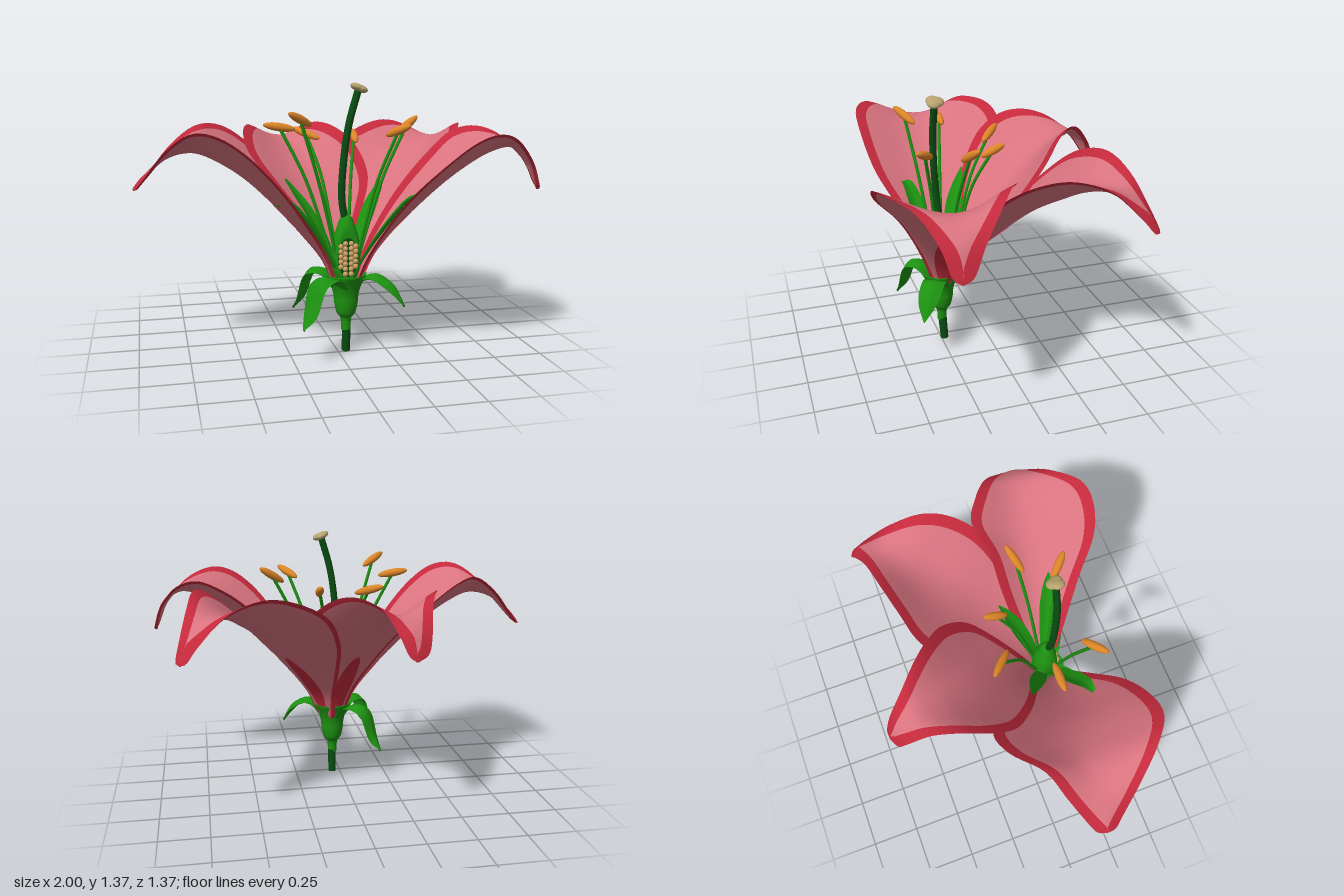
import * as THREE from 'three';

const mat = (name, color, side = THREE.FrontSide) => {
  const m = new THREE.MeshStandardMaterial({ color, side });
  m.name = name;
  return m;
};
const V = (x, y, z) => new THREE.Vector3(x, y, z);
const CX = 0.04, CZ = 0.24; // axis of the flower

// Curved blade surface: rows are [radius, height, edgeLift, halfWidth, otherHalfWidth]
function bladeSurface(rows, angle) {
  const curve = f => new THREE.CatmullRomCurve3(rows.map(f), false, 'catmullrom');
  const spine = curve(p => V(p[0], p[1], p[2]));
  const halves = curve(p => V(p[3], p[4] ?? p[3], 0));
  const a = angle * Math.PI / 180, dx = Math.cos(a), dz = Math.sin(a);
  const width = (t, s) => {
    const h = halves.getPoint(t);
    return Math.max(0.003, s > 0 ? h.y : h.x);
  };
  const raw = (t, s) => {
    const p = spine.getPoint(t), w = width(t, s) * s;
    const lift = p.z * (1.6 * s ** 2 - 0.6 * s ** 4);
    return V(CX + dx * p.x - dz * w, p.y + lift, CZ + dz * p.x + dx * w);
  };
  const at = (t, s, off = 0) => {
    const p = raw(t, s);
    if (!off) return p;
    const e = 0.004, t0 = Math.max(0, t - e), t1 = Math.min(1, t + e);
    const T = raw(t1, s).sub(raw(t0, s)), S = raw(t, s + 0.02).sub(raw(t, s - 0.02));
    return p.addScaledVector(S.cross(T).normalize(), off);
  };
  return { at, width };
}

function buildGeometry(pos, idx) {
  const g = new THREE.BufferGeometry();
  g.setAttribute('position', new THREE.Float32BufferAttribute(pos, 3));
  g.setIndex(idx);
  g.computeVertexNormals();
  return g;
}

// Two-skinned blade; columns follow the border line so its colour edge is smooth
function bladeGeometry(surf, thick, borderTop = 0, borderBottom = 0, rows = 48, cols = 20) {
  const pos = [], face = [], rim = [], B = 2;
  [borderTop, borderBottom].forEach((border, skin) => {
    const first = pos.length / 3;
    for (let i = 0; i <= rows; i++) {
      const t = i / rows;
      const inner = side => Math.max(0.01, 1 - (border || 0.01) / surf.width(t, side));
      for (let j = 0; j <= cols; j++) {
        let s;
        if (j < B) s = -1 + (1 - inner(-1)) * j / B;
        else if (j > cols - B) s = 1 - (1 - inner(1)) * (cols - j) / B;
        else {
          const k = 2 * (j - B) / (cols - 2 * B) - 1;
          s = inner(k) * k;
        }
        pos.push(...surf.at(t, s, skin ? -thick * (1 - s ** 8) : 0).toArray());
      }
    }
    for (let i = 0; i < rows; i++) for (let j = 0; j < cols; j++) {
      const a = first + i * (cols + 1) + j, b = a + cols + 1, c = a + 1, d = b + 1;
      const list = border && (j < B || j >= cols - B) ? rim : face;
      if (skin) list.push(a, b, c, b, d, c);
      else list.push(a, c, b, b, c, d);
    }
  });
  const g = buildGeometry(pos, [...face, ...rim]);
  g.addGroup(0, face.length, 0);
  g.addGroup(face.length, rim.length, 1);
  return g;
}

// Thin oval patch lying on the outer skin
function patchGeometry(surf, t0, t1, half, off) {
  const pos = [], idx = [], n = 24, m = 6;
  for (let i = 0; i <= n; i++) for (let j = 0; j <= m; j++) {
    const t = t0 + (t1 - t0) * i / n, k = 2 * j / m - 1;
    const s = half * Math.sqrt(Math.sin(Math.PI * i / n) + 1e-6) * k / surf.width(t, k);
    pos.push(...surf.at(t, s, off).toArray());
    if (i < n && j < m) {
      const a = i * (m + 1) + j, b = a + m + 1;
      idx.push(a, b, a + 1, b, b + 1, a + 1);
    }
  }
  return buildGeometry(pos, idx);
}

export function createModel() {
  const root = new THREE.Group();
  root.name = 'flower';
  const D = THREE.DoubleSide;
  const pink = mat('petal pink', 0xd8737f, D), red = mat('petal border red', 0xc42a3c, D);
  const green = mat('leaf green', 0x1d9211, D), dark = mat('dark green', 0x084c12);
  const orange = mat('anther orange', 0xdc8528), tan = mat('stigma tan', 0xb8a36e);
  const seed = mat('ovule tan', 0xcf9f62);
  const add = (name, geo, material, parent = root) => {
    const mesh = new THREE.Mesh(geo, material);
    mesh.name = name;
    parent.add(mesh);
    return mesh;
  };
  const tube = (pts, r, n = 30, sides = 10) =>
    new THREE.TubeGeometry(new THREE.CatmullRomCurve3(pts), n, r, sides);

  // Petals: shared stations and cupping, own heights and outline on each side
  const radii = [0.04, 0.1, 0.2, 0.31, 0.45, 0.58, 0.7, 0.82, 0.92, 0.965, 0.978];
  const lifts = [0.02, 0.04, 0.08, 0.12, 0.14, 0.14, 0.1, 0.03, -0.02, -0.02, 0];
  [
    { name: 'rightPetal', angle: 186, length: 1.066,
      y: [0.33, 0.49, 0.63, 0.76, 0.905, 1.0, 1.05, 1.025, 0.94, 0.885, 0.865],
      a: [0.055, 0.11, 0.2, 0.3, 0.355, 0.365, 0.295, 0.19, 0.09, 0.045, 0.004],
      b: [0.055, 0.11, 0.2, 0.31, 0.415, 0.375, 0.24, 0.165, 0.09, 0.05, 0.004] },
    { name: 'backPetal', angle: -104.5, length: 0.985,
      y: [0.33, 0.48, 0.62, 0.74, 0.87, 0.965, 1.03, 1.055, 1.0, 0.92, 0.87],
      a: [0.05, 0.09, 0.18, 0.275, 0.345, 0.32, 0.245, 0.163, 0.105, 0.065, 0.004],
      b: [0.05, 0.09, 0.205, 0.3, 0.3, 0.238, 0.168, 0.1, 0.064, 0.04, 0.004] },
    { name: 'backLeftPetal', angle: -44.5, length: 1.17,
      y: [0.33, 0.48, 0.62, 0.74, 0.88, 0.97, 1.035, 1.045, 0.97, 0.9, 0.87],
      a: [0.055, 0.11, 0.22, 0.32, 0.37, 0.3, 0.218, 0.125, 0.06, 0.035, 0.004],
      b: [0.055, 0.11, 0.2, 0.27, 0.31, 0.29, 0.228, 0.13, 0.065, 0.035, 0.004] },
    { name: 'leftPetal', angle: 9.5, length: 0.998,
      y: [0.33, 0.48, 0.62, 0.735, 0.87, 0.97, 1.04, 1.065, 1.0, 0.89, 0.84],
      a: [0.05, 0.1, 0.15, 0.19, 0.225, 0.288, 0.245, 0.182, 0.1, 0.05, 0.004],
      b: [0.05, 0.1, 0.165, 0.235, 0.33, 0.347, 0.305, 0.175, 0.085, 0.045, 0.004] },
  ].forEach(({ name, angle, length, y, a, b }) => {
    const surf = bladeSurface(radii.map((r, i) => [r * length, y[i], lifts[i], a[i], b[i]]), angle);
    const g = new THREE.Group();
    g.name = name;
    add('petalBlade', bladeGeometry(surf, 0.014, 0.055, 0.025), [pink, red], g);
    add('petalBasePatch', patchGeometry(surf, 0.03, 0.32, 0.045, -0.017), red, g);
    root.add(g);
  });

  // Sepals arching down from the cup
  [[32, 0.99, 0.27], [143, 1.03, 0.19], [-137, 1.03, 0.185]].forEach(([angle, k, tip]) => {
    const sepal = [[0.05, 0.34, 0.01, 0.06], [0.1, 0.4, 0, 0.062], [0.16, 0.425, -0.02, 0.06],
      [0.22, 0.4, -0.03, 0.057], [0.265, tip + 0.09, -0.03, 0.042], [0.315, tip, 0, 0.003]];
    const surf = bladeSurface(sepal.map(([r, ...rest]) => [r * k, ...rest]), angle);
    add('sepal', bladeGeometry(surf, 0.01, 0, 0, 24, 10), green);
  });

  // Pointed inner leaves
  [[-0.23, 0.88, 0.045], [0.28, 0.87, 0.06], [-0.33, 0.8, 0.36], [0.39, 0.83, 0.38]].forEach(([x, y, z]) => {
    const r = Math.hypot(x - CX, z - CZ), angle = Math.atan2(z - CZ, x - CX) * 180 / Math.PI;
    const leaf = [[0.04, 0.42, 0, 0.02], [r * 0.35, 0.57, 0.015, 0.036], [r * 0.6, 0.7, 0.02, 0.042],
      [r * 0.82, 0.8, 0.01, 0.028], [r, y, 0, 0.003]];
    add('innerLeaf', bladeGeometry(bladeSurface(leaf, angle), 0.009, 0, 0, 24, 10), green);
  });

  // Stem and cup
  const stem = add('stem', new THREE.CylinderGeometry(0.023, 0.021, 0.13, 20), dark);
  stem.position.set(CX + 0.003, 0.067, CZ - 0.003);
  stem.rotation.x = 0.07;
  const lathe = pts => new THREE.LatheGeometry(
    new THREE.SplineCurve(pts.map(p => new THREE.Vector2(...p))).getPoints(36), 40);
  add('calyxCup', lathe([[0.024, 0.12], [0.028, 0.18], [0.048, 0.21], [0.06, 0.26], [0.065, 0.31],
    [0.08, 0.36], [0.104, 0.41], [0.088, 0.408], [0.04, 0.38], [0.001, 0.37]]), green).position.set(CX, 0, CZ + 0.003);

  // Ovary cut flat at the front, showing the chamber and ovules
  const CUT = 0.045;
  const ovary = lathe([[0.04, 0.37], [0.066, 0.43], [0.074, 0.5], [0.068, 0.58], [0.048, 0.65],
    [0.03, 0.7], [0.012, 0.72], [0.001, 0.722]]);
  const op = ovary.attributes.position;
  for (let i = 0; i < op.count; i++) op.setZ(i, Math.min(op.getZ(i), CUT));
  ovary.computeVertexNormals();
  add('ovary', ovary, green).position.set(CX, 0, CZ);
  const chamber = add('ovaryChamber', new THREE.CircleGeometry(1, 32), dark);
  chamber.scale.set(0.053, 0.1, 1);
  chamber.position.set(CX, 0.505, CZ + CUT + 0.003);
  const ovule = new THREE.SphereGeometry(0.0135, 12, 8);
  for (let row = 0; row < 7; row++) for (const side of [-1, 1]) for (const k of [0, 1]) {
    const y = 0.422 + row * 0.026 + k * 0.012, x = side * (0.015 + k * 0.023);
    if ((x / 0.053) ** 2 + ((y - 0.505) / 0.1) ** 2 < 0.9)
      add('ovule', ovule, seed).position.set(CX + x, y, CZ + CUT + 0.006);
  }

  // Style and stigma
  add('style', tube([V(CX, 0.66, CZ), V(0.015, 0.8, 0.25), V(0.02, 0.98, 0.262), V(0.045, 1.17, 0.27),
    V(0.092, 1.34, 0.27)], 0.018, 40, 14), dark);
  const stigma = new THREE.Group();
  stigma.name = 'stigma';
  for (let i = 0; i < 3; i++) {
    const a = i * Math.PI * 2 / 3 + 0.5;
    const lobe = add('stigmaLobe', new THREE.SphereGeometry(1, 18, 12), tan, stigma);
    lobe.scale.set(0.034, 0.018, 0.034);
    lobe.position.set(Math.cos(a) * 0.013, 0, Math.sin(a) * 0.013);
  }
  stigma.position.set(0.093, 1.345, 0.27);
  stigma.rotation.z = -0.38;
  root.add(stigma);

  // Stamens: [outer anther end, inner anther end]
  [
    [[-0.36, 1.165, 0.15], [-0.2, 1.14, 0.155]], [[-0.275, 1.235, 0.395], [-0.15, 1.17, 0.315]],
    [[-0.165, 1.125, -0.13], [-0.04, 1.075, -0.015]], [[0.145, 1.115, -0.07], [0.14, 1.06, 0.05]],
    [[0.315, 1.17, 0.415], [0.22, 1.115, 0.32]], [[0.435, 1.195, 0.15], [0.305, 1.11, 0.2]],
  ].forEach(([outer, inner]) => {
    const a = V(...outer), b = V(...inner), mid = a.clone().add(b).multiplyScalar(0.5);
    const g = new THREE.Group();
    g.name = 'stamen';
    const out = V(mid.x - CX, 0, mid.z - CZ), from = (k, y) => V(CX, y, CZ).addScaledVector(out, k);
    add('filament', tube([from(0.15, 0.42), from(0.36, 0.65), from(0.62, 0.9), mid], 0.0085, 24, 8), green, g);
    const anther = add('anther', new THREE.SphereGeometry(1, 20, 14), orange, g);
    anther.scale.set(0.021, a.distanceTo(b) / 2, 0.021);
    anther.quaternion.setFromUnitVectors(V(0, 1, 0), a.clone().sub(b).normalize());
    anther.position.copy(mid);
    root.add(g);
  });
  return root;
}
